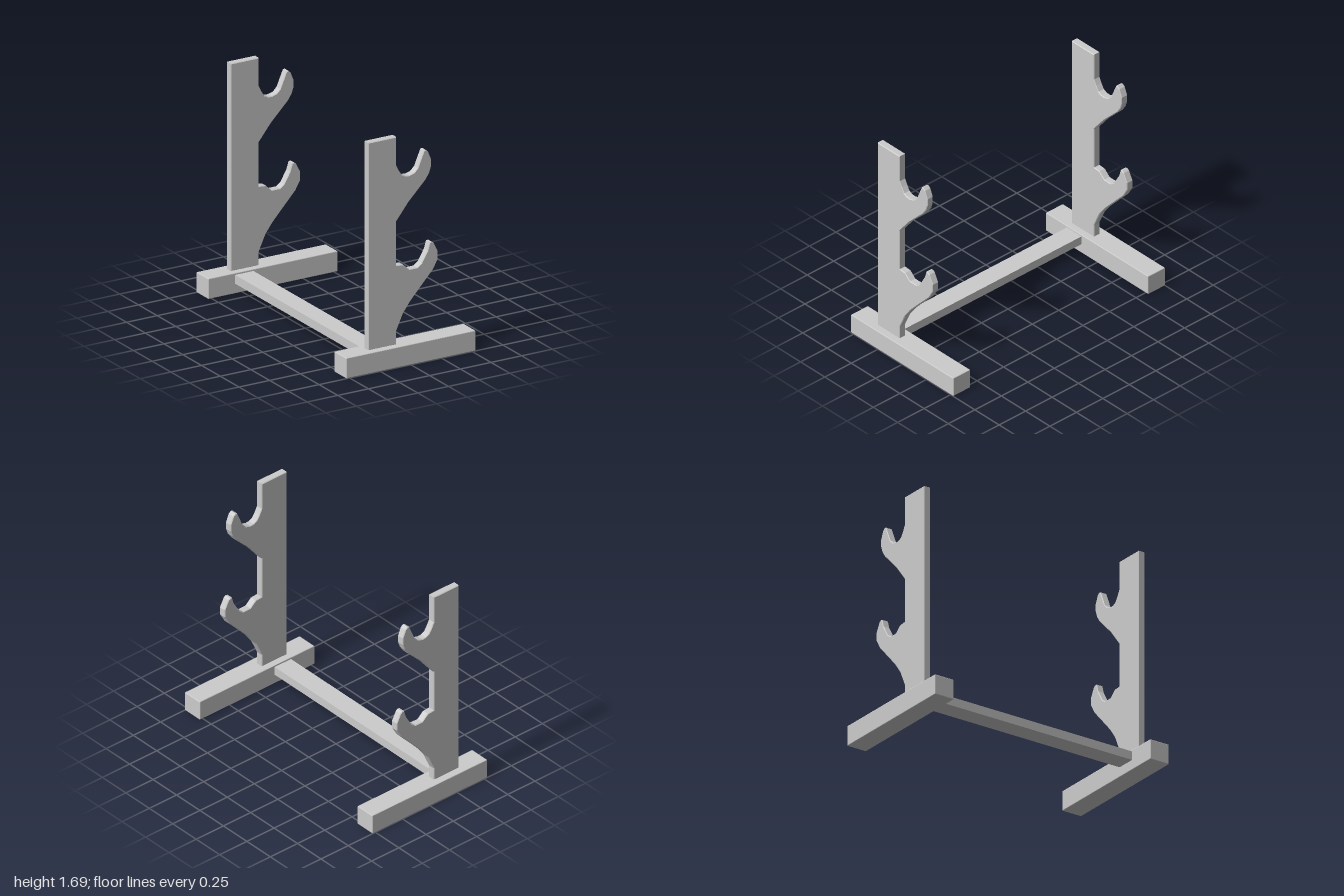
import * as THREE from 'three';
import { RoundedBoxGeometry } from 'three/addons/geometries/RoundedBoxGeometry.js';

const material = new THREE.MeshStandardMaterial({ color: 0xcccccc, flatShading: true });
const BEVEL = 0.005;

// Outline of an upright with its two hooked arms, counter-clockwise in x, y
const OUTLINE = [
  [-0.315, 0.15], [-0.085, 0.15], [-0.085, 0.25],
  // lower arm: underside, tip, cradle
  [-0.03, 0.37], [0.025, 0.445], [0.075, 0.5], [0.145, 0.575], [0.215, 0.65],
  [0.255, 0.72], [0.255, 0.78], [0.22, 0.848], [0.203, 0.86], [0.187, 0.857],
  [0.17, 0.8], [0.12, 0.715], [0.085, 0.69], [0.02, 0.69], [-0.03, 0.735], [-0.085, 0.74],
  // upper arm: underside, tip, cradle
  [-0.085, 1.065], [0.015, 1.19], [0.155, 1.33], [0.185, 1.375],
  [0.2, 1.42], [0.2, 1.475], [0.175, 1.535], [0.155, 1.552], [0.14, 1.547],
  [0.09, 1.43], [0.06, 1.4], [0.02, 1.388], [-0.01, 1.39], [-0.04, 1.405],
  [-0.065, 1.445], [-0.085, 1.485],
  // post top
  [-0.085, 1.695], [-0.315, 1.695],
];

function addPart(group, name, geometry, x, y, z) {
  const mesh = new THREE.Mesh(geometry, material);
  mesh.name = name;
  mesh.position.set(x, y, z);
  group.add(mesh);
}

export function createModel() {
  const group = new THREE.Group();
  group.name = 'twoTierDisplayStand';

  const thickness = 0.056;
  const shape = new THREE.Shape(OUTLINE.map(([x, y]) => new THREE.Vector2(x, y)));
  const upright = new THREE.ExtrudeGeometry(shape, {
    depth: thickness - 2 * BEVEL,
    bevelThickness: BEVEL, bevelSize: BEVEL, bevelOffset: -BEVEL, bevelSegments: 1,
  });
  upright.translate(0, 0, BEVEL - thickness / 2);
  const foot = new RoundedBoxGeometry(1.055, 0.152, 0.16, 1, BEVEL);

  // Foot and upright at each end
  for (const [end, side] of [['front', 1], ['back', -1]]) {
    addPart(group, end + 'Foot', foot, 0, 0.078, side * 0.92);
    addPart(group, end + 'Upright', upright, 0, 0, side * 0.917);
  }

  // Rail joining the feet
  addPart(group, 'rail', new THREE.BoxGeometry(0.15, 0.065, 1.69), -0.235, 0.108, 0);
  return group;
}
